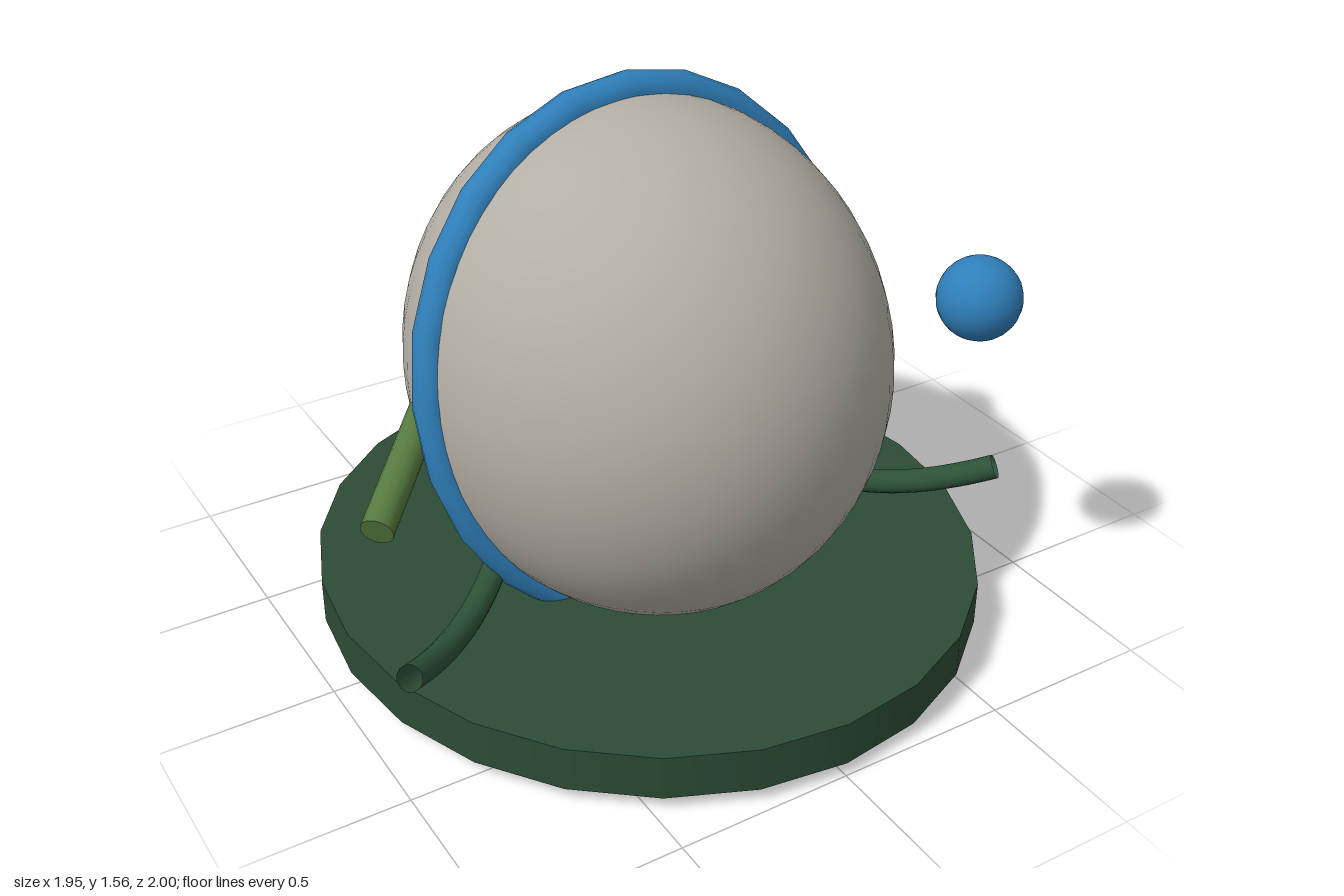
import * as THREE from 'three';

const material = (name, color, side = THREE.FrontSide) => {
  const m = new THREE.MeshStandardMaterial({ color, side });
  m.name = name;
  return m;
};

export function createModel() {
  const model = new THREE.Group();
  model.name = 'bandedBall';
  const stone = material('warm grey', 0xb4afa5);
  const blue = material('blue', 0x2f7fba);
  const red = material('red', 0xa04442);
  const darkGreen = material('dark green', 0x2c4c35);
  const stemGreen = material('stem green', 0x2d5238, THREE.DoubleSide);
  const leafGreen = material('leaf green', 0x557a40);

  const add = (name, geometry, mat) => {
    const mesh = new THREE.Mesh(geometry, mat);
    mesh.name = name;
    model.add(mesh);
    return mesh;
  };
  // Cylinder running from point a (radius ra) to point b (radius rb)
  const rod = (name, a, b, ra, rb, sides, mat) => {
    const dir = b.clone().sub(a);
    const mesh = add(name, new THREE.CylinderGeometry(rb, ra, dir.length(), sides), mat);
    mesh.position.copy(a).add(b).multiplyScalar(0.5);
    mesh.quaternion.setFromUnitVectors(new THREE.Vector3(0, 1, 0), dir.normalize());
    return mesh;
  };
  const v = (x, y, z) => new THREE.Vector3(x, y, z);

  // Oval base plate
  const base = add('base', new THREE.CylinderGeometry(1, 1, 0.13, 24), darkGreen);
  base.scale.x = 0.945;
  base.position.y = 0.11;

  // Slightly narrow ball
  const body = add('body', new THREE.SphereGeometry(0.733, 48, 32), stone);
  body.scale.x = 0.9;
  body.position.y = 0.78;

  // Leaning band around the ball
  const band = add('band', new THREE.TorusGeometry(0.737, 0.055, 12, 24), blue);
  band.scale.x = 0.89;
  band.rotation.set(-0.18, 0, -0.03);
  band.position.y = 0.782;

  // Small floating ball
  add('smallBall', new THREE.SphereGeometry(0.115, 24, 16), blue).position.set(0.663, 1.04, 0.604);

  // Flared knob on the band
  rod('knob', v(0.64, 0.84, 0), v(0.733, 0.832, 0), 0.025, 0.048, 16, red);

  // Stub poking out of the right side
  rod('stub', v(-0.52, 0.735, -0.25), v(-0.885, 0.565, 0.125), 0.046, 0.046, 16, leafGreen);

  // Mirrored curved stems, open at the ends
  for (const s of [1, -1]) {
    const path = new THREE.QuadraticBezierCurve3(
      v(s * 0.5, 0.3, 0.04), v(s * 0.66, 0.155, 0.17), v(s * 0.95, 0.325, 0.43));
    add(s > 0 ? 'leftStem' : 'rightStem', new THREE.TubeGeometry(path, 16, 0.036, 12), stemGreen);
  }
  return model;
}
